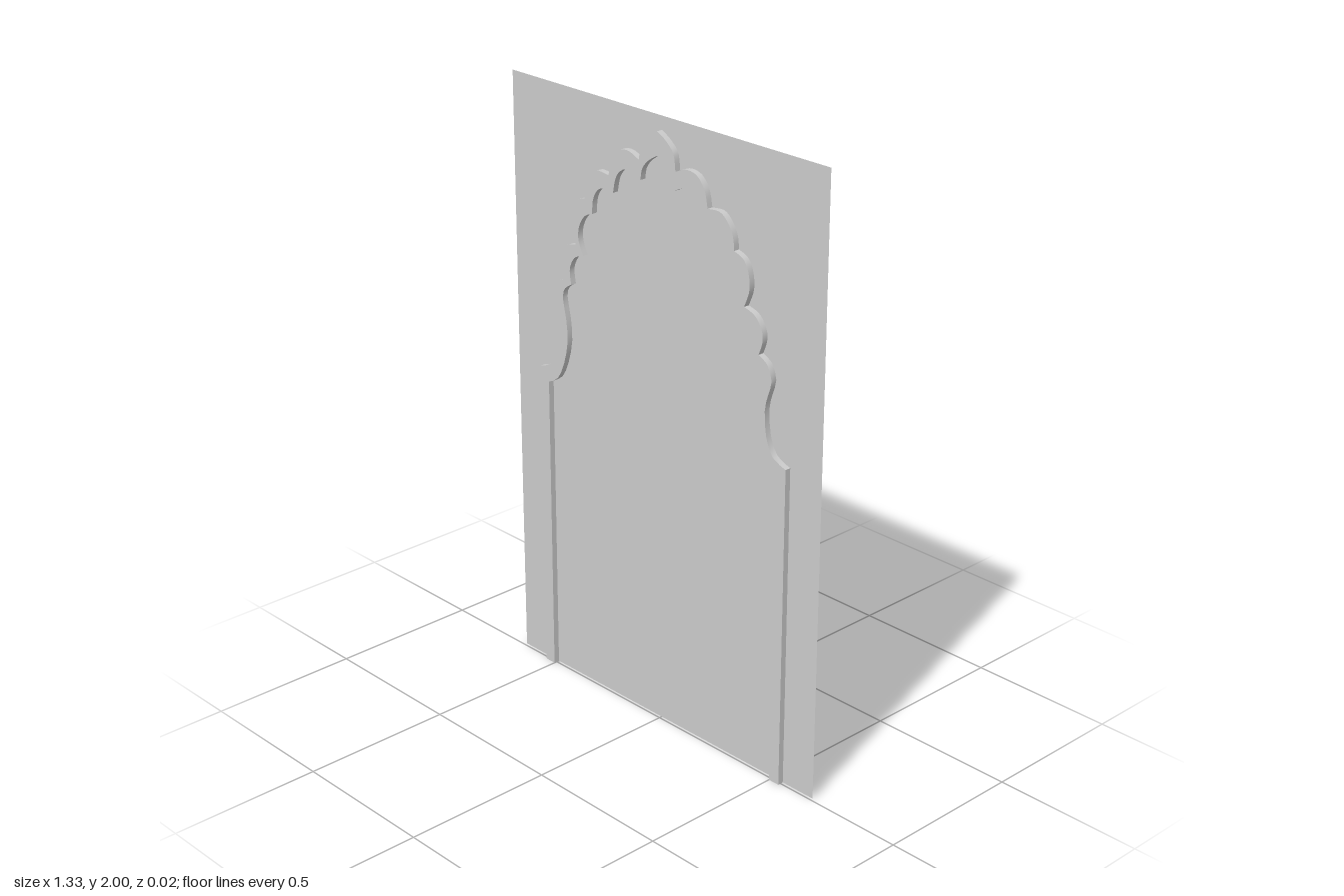
import * as THREE from 'three';
import { toCreasedNormals } from 'three/addons/utils/BufferGeometryUtils.js';

const HALF_DEPTH = 0.01;

// Right half of each arch edge, apex to springing: one smooth run per lobe, runs meet in cusps.
const outerLobes = [
  [[0, 1.957], [0.035, 1.938], [0.068, 1.905], [0.077, 1.853]],
  [[0.077, 1.853], [0.122, 1.87], [0.167, 1.862], [0.198, 1.825], [0.21, 1.774]],
  [[0.21, 1.774], [0.262, 1.777], [0.297, 1.748], [0.315, 1.712], [0.319, 1.675]],
  [[0.319, 1.675], [0.357, 1.66], [0.378, 1.623], [0.382, 1.57], [0.362, 1.517]],
  [[0.362, 1.517], [0.405, 1.503], [0.433, 1.468], [0.438, 1.43], [0.423, 1.387]],
  [[0.423, 1.387], [0.458, 1.368], [0.477, 1.32], [0.463, 1.27], [0.452, 1.22], [0.46, 1.14], [0.488, 1.085], [0.54, 1.063]],
];
const innerLobes = [
  [[0, 1.883], [0.037, 1.86], [0.063, 1.83], [0.071, 1.793]],
  [[0.071, 1.793], [0.108, 1.81], [0.146, 1.807], [0.177, 1.777], [0.191, 1.724]],
  [[0.191, 1.724], [0.235, 1.727], [0.262, 1.713], [0.28, 1.682], [0.286, 1.634]],
  [[0.286, 1.634], [0.32, 1.618], [0.345, 1.58], [0.349, 1.535], [0.329, 1.488]],
  [[0.329, 1.488], [0.368, 1.472], [0.391, 1.43], [0.386, 1.379]],
  [[0.386, 1.379], [0.414, 1.36], [0.426, 1.326], [0.412, 1.257], [0.407, 1.183], [0.426, 1.103], [0.457, 1.045], [0.5, 1.02]],
];

// Full edge from the right foot over the apex to the left foot
function archEdge(lobes) {
  const half = [];
  for (const lobe of lobes) {
    const curve = new THREE.SplineCurve(lobe.map(([x, y]) => new THREE.Vector2(x, y)));
    half.push(...curve.getPoints(14).slice(half.length ? 1 : 0));
  }
  half.push(new THREE.Vector2(half[half.length - 1].x, 0));
  const mirrored = half.slice(1).map((p) => new THREE.Vector2(-p.x, p.y));
  return [...half.reverse(), ...mirrored];
}

export function createModel() {
  const group = new THREE.Group();
  group.name = 'archedPanel';

  // Flat sheet behind the arch
  const panel = new THREE.Mesh(
    new THREE.PlaneGeometry(1.33, 2),
    new THREE.MeshStandardMaterial({ color: 0xcccccc, side: THREE.DoubleSide })
  );
  panel.name = 'backPanel';
  panel.position.set(0, 1, -HALF_DEPTH);
  group.add(panel);

  // Raised scalloped moulding, standing just proud of the sheet
  const shape = new THREE.Shape([...archEdge(outerLobes), ...archEdge(innerLobes).reverse()]);
  const geometry = new THREE.ExtrudeGeometry(shape, { depth: 2 * HALF_DEPTH - 0.0005, bevelEnabled: false });
  geometry.translate(0, 0, -HALF_DEPTH + 0.0005);
  const frame = new THREE.Mesh(
    toCreasedNormals(geometry, Math.PI / 6),
    new THREE.MeshStandardMaterial({ color: 0xcccccc })
  );
  frame.name = 'archMoulding';
  group.add(frame);

  return group;
}
